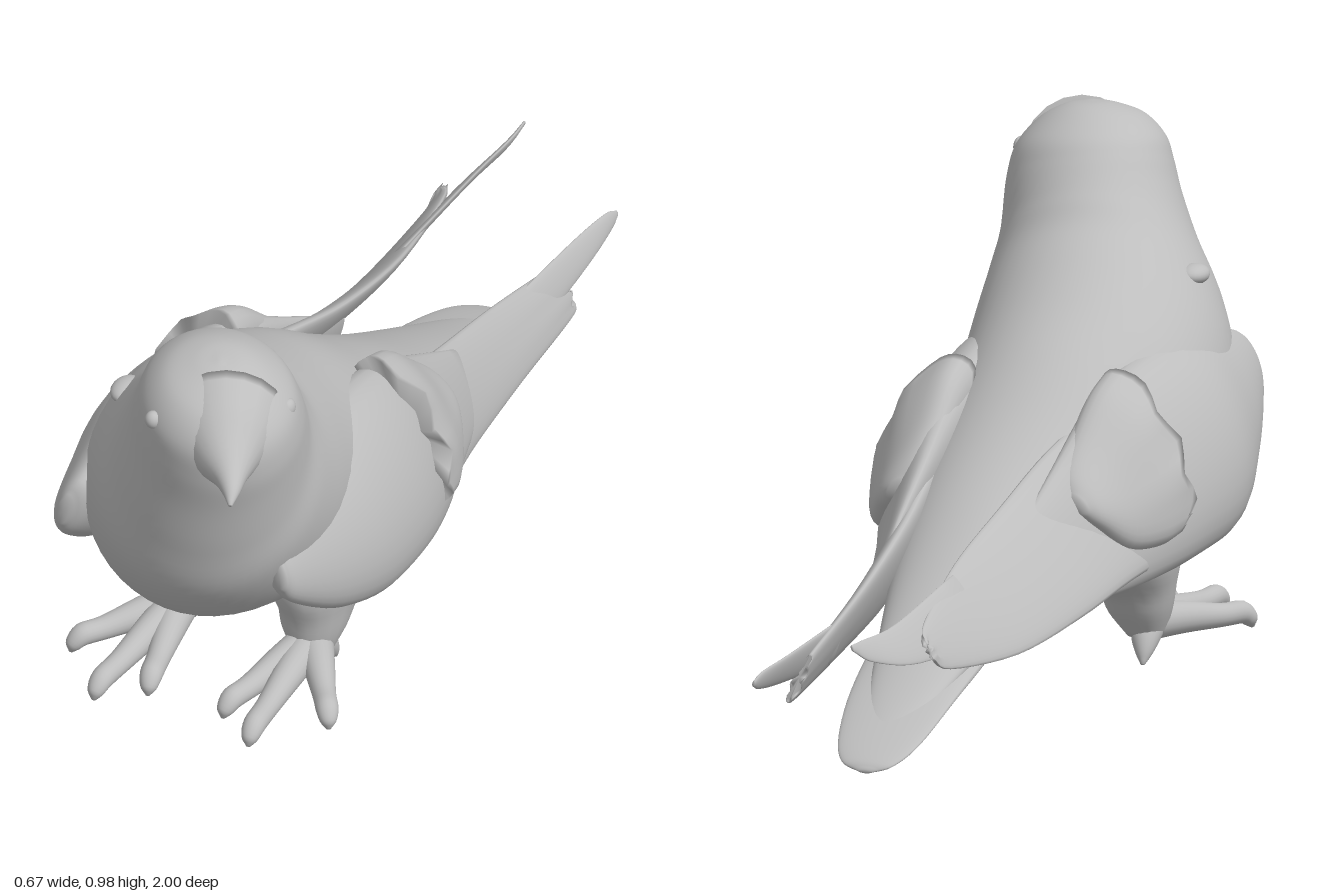
import * as THREE from 'three';

const plumage = new THREE.MeshStandardMaterial({ color: 0xbdbdbd });
plumage.name = 'plain grey';
const V = (x, y, z) => new THREE.Vector3(x, y, z);

// Smooth closed skin through elliptical rings {c, u, v}: p = c + u cos t + v sin t.
// jag makes the first and last ends ragged along z.
function loft(name, rings, { sides = 32, steps = 5, jag = [0, 0] } = {}) {
  const curve = (k) => new THREE.CatmullRomCurve3(rings.map((r) => r[k]), false, 'catmullrom', 0.5);
  const [C, U, W] = ['c', 'u', 'v'].map(curve);
  const rows = (rings.length - 1) * steps;
  const pos = [], idx = [];
  for (let i = 0; i <= rows; i++) {
    const s = i / rows, c = C.getPoint(s), u = U.getPoint(s), w = W.getPoint(s);
    const rag = jag[0] * Math.pow(1 - s, 5) + jag[1] * Math.pow(s, 5);
    for (let j = 0; j < sides; j++) {
      const t = (j / sides) * Math.PI * 2;
      const p = c.clone().addScaledVector(u, Math.cos(t)).addScaledVector(w, Math.sin(t));
      pos.push(p.x, p.y, p.z + rag * Math.sin(Math.cos(t) * 9));
    }
  }
  for (let i = 0; i < rows; i++) for (let j = 0; j < sides; j++) {
    const k = (j + 1) % sides, a = i * sides;
    idx.push(a + j, a + k, a + sides + j, a + k, a + sides + k, a + sides + j);
  }
  // end caps
  [[0, C.getPoint(0)], [rows, C.getPoint(1)]].forEach(([row, c], e) => {
    const n = pos.length / 3;
    pos.push(c.x, c.y, c.z);
    for (let j = 0; j < sides; j++) {
      const a = row * sides + j, b = row * sides + (j + 1) % sides;
      if (e) idx.push(n, a, b); else idx.push(n, b, a);
    }
  });
  // turn the faces outward
  let volume = 0;
  const at = (i) => V(pos[3 * i], pos[3 * i + 1], pos[3 * i + 2]);
  for (let i = 0; i < idx.length; i += 3) volume += at(idx[i]).dot(at(idx[i + 1]).cross(at(idx[i + 2])));
  if (volume < 0) idx.reverse();
  const g = new THREE.BufferGeometry();
  g.setAttribute('position', new THREE.Float32BufferAttribute(pos, 3));
  g.setIndex(idx);
  g.computeVertexNormals();
  const mesh = new THREE.Mesh(g, plumage);
  mesh.name = name;
  return mesh;
}

// Ring between a back point and a belly point, turned by yaw about the vertical
function bodyRing([zb, yb, zf, yf, x, w, yaw = 0]) {
  const a = THREE.MathUtils.degToRad(yaw), h = (zb - zf) / 2;
  return {
    c: V(x, (yb + yf) / 2, (zb + zf) / 2),
    u: V(h * Math.sin(a), (yb - yf) / 2, h * Math.cos(a)),
    v: V(w * Math.cos(a), 0, -w * Math.sin(a)),
  };
}

// Ring of a wing at z, from its top edge to its bottom edge, bulging sideways;
// the front of both wings swings to the left with the chest
const wingRing = (side) => ([z, xt, yt, xb, yb, thick]) => ({
  c: V(side * (xt + xb) / 2 + 0.08 * Math.max(0, z - 0.4), (yt + yb) / 2, z),
  u: V(side * (xt - xb) / 2, (yt - yb) / 2, 0),
  v: V(thick, 0, 0),
});

// Round limb along points [x, y, z, radius]; upright limbs use flat rings with a depth
function limb(name, pts, upright = false) {
  const path = pts.map((p) => V(p[0], p[1], p[2]));
  return loft(name, pts.map((p, i) => {
    const r = p[3], dir = path[Math.min(i + 1, path.length - 1)].clone().sub(path[Math.max(i - 1, 0)]).normalize();
    const across = upright ? V(1, 0, 0) : V(0, 1, 0).cross(dir).normalize();
    const other = upright ? V(0, 0, 1) : dir.clone().cross(across);
    return { c: path[i], u: across.multiplyScalar(r), v: other.multiplyScalar(upright ? p[4] : r) };
  }), { sides: 20, steps: 4 });
}

function ellipsoid(name, at, size) {
  const m = new THREE.Mesh(new THREE.SphereGeometry(1, 20, 14), plumage);
  m.name = name;
  m.position.set(...at);
  m.scale.set(...size);
  return m;
}

export function createModel() {
  const bird = new THREE.Group();
  bird.name = 'bird';

  // Body, neck and turned head in one skin
  bird.add(loft('bodyAndHead', [
    [-0.74, 0.05, -0.74, 0.04, -0.05, 0.02],
    [-0.55, 0.145, -0.55, 0.10, -0.04, 0.075],
    [-0.3, 0.29, -0.3, 0.145, -0.02, 0.13],
    [-0.1, 0.42, -0.1, 0.135, 0, 0.17],
    [0.05, 0.52, 0.12, 0.13, 0, 0.215],
    [0.2, 0.63, 0.36, 0.155, 0, 0.24],
    [0.32, 0.70, 0.58, 0.24, 0.005, 0.26],
    [0.42, 0.755, 0.75, 0.34, 0.03, 0.255, 5],
    [0.5, 0.80, 0.86, 0.47, 0.07, 0.225, 12],
    [0.54, 0.845, 0.895, 0.6, 0.1, 0.19, 20],
    [0.565, 0.88, 0.915, 0.72, 0.122, 0.17, 30],
    [0.59, 0.915, 0.93, 0.8, 0.135, 0.158, 35],
    [0.62, 0.945, 0.93, 0.87, 0.14, 0.141, 35],
    [0.675, 0.973, 0.895, 0.93, 0.142, 0.1, 35],
    [0.72, 0.985, 0.83, 0.968, 0.142, 0.05, 35],
    [0.765, 0.985, 0.785, 0.983, 0.142, 0.006, 35],
  ].map(bodyRing), { sides: 48, steps: 6 }));

  // Hooked beak, blended into the face by a broad base
  bird.add(limb('beak', [
    [0.165, 0.87, 0.79, 0.115], [0.195, 0.862, 0.85, 0.092], [0.224, 0.853, 0.9, 0.06], [0.25, 0.848, 0.94, 0.033],
    [0.27, 0.842, 0.975, 0.017], [0.281, 0.83, 1.0, 0.004],
  ]));

  // Eyes
  bird.add(ellipsoid('leftEye', [0.27, 0.888, 0.74], [0.014, 0.02, 0.02]));
  bird.add(ellipsoid('rightEye', [0.062, 0.892, 0.895], [0.016, 0.018, 0.016]));

  // Ruffled feather on the right of the back
  bird.add(ellipsoid('ruffledFeather', [-0.145, 0.705, 0.6], [0.03, 0.02, 0.04]));

  // Folded wing shoulders and covert flaps, the same on both sides
  for (const [side, label] of [[1, 'left'], [-1, 'right']]) {
    bird.add(loft(label + 'WingShoulder', [
      [0.755, 0.225, 0.53, 0.235, 0.47, 0.012],
      [0.72, 0.2, 0.575, 0.24, 0.42, 0.04],
      [0.58, 0.18, 0.605, 0.26, 0.32, 0.075],
      [0.42, 0.17, 0.62, 0.275, 0.255, 0.1],
      [0.25, 0.16, 0.60, 0.275, 0.235, 0.092],
      [0.1, 0.15, 0.55, 0.255, 0.22, 0.07],
      [-0.05, 0.135, 0.46, 0.22, 0.21, 0.04],
      [-0.25, 0.12, 0.34, 0.17, 0.2, 0.012],
    ].map(wingRing(side))));
    bird.add(loft(label + 'CovertFlap', [
      [0.17, 0.165, 0.61, 0.285, 0.3, 0.083],
      [0.1, 0.16, 0.575, 0.275, 0.29, 0.074],
      [0.02, 0.155, 0.505, 0.25, 0.3, 0.056],
      [-0.04, 0.16, 0.45, 0.22, 0.35, 0.036],
      [-0.065, 0.18, 0.41, 0.195, 0.38, 0.015],
    ].map(wingRing(side)), { jag: [0.02, 0] }));
  }

  // Flight feathers: the left wing hangs lower than the right
  bird.add(loft('leftFlightFeathers', [
    [0.2, 0.16, 0.5, 0.24, 0.24, 0.05],
    [0, 0.135, 0.445, 0.22, 0.2, 0.038],
    [-0.2, 0.11, 0.37, 0.185, 0.17, 0.028],
    [-0.45, 0.09, 0.295, 0.155, 0.145, 0.02],
    [-0.7, 0.085, 0.225, 0.13, 0.12, 0.014],
    [-0.72, 0.088, 0.215, 0.125, 0.13, 0.01],
  ].map(wingRing(1)), { jag: [0, 0.015] }));
  bird.add(loft('leftWingTip', [
    [-0.55, 0.09, 0.255, 0.12, 0.16, 0.01],
    [-0.8, 0.093, 0.235, 0.115, 0.175, 0.008],
    [-0.91, 0.1, 0.225, 0.11, 0.188, 0.006],
    [-0.945, 0.105, 0.212, 0.107, 0.2, 0.003],
  ].map(wingRing(1))));
  bird.add(loft('rightFlightFeathers', [
    [0.2, 0.13, 0.54, 0.28, 0.26, 0.045],
    [0, 0.1, 0.48, 0.265, 0.24, 0.035],
    [-0.2, 0.09, 0.415, 0.25, 0.21, 0.028],
    [-0.45, 0.1, 0.355, 0.23, 0.19, 0.02],
    [-0.72, 0.15, 0.3, 0.205, 0.215, 0.012],
    [-0.79, 0.18, 0.28, 0.2, 0.25, 0.006],
  ].map(wingRing(-1)), { jag: [0, 0.01] }));
  bird.add(loft('rightWingTip', [
    [-0.5, 0.115, 0.345, 0.19, 0.23, 0.01],
    [-0.8, 0.125, 0.312, 0.175, 0.24, 0.008],
    [-0.94, 0.118, 0.31, 0.14, 0.268, 0.006],
    [-1, 0.119, 0.312, 0.122, 0.3, 0.003],
  ].map(wingRing(-1))));

  // Tail: thin fan sloping down to a rounded end
  bird.add(loft('tail', [
    [-0.15, 0.23, 0.1, 0.07, -0.01], [-0.35, 0.175, 0.12, 0.035, -0.02], [-0.55, 0.115, 0.108, 0.018, -0.035],
    [-0.7, 0.06, 0.085, 0.012, -0.05], [-0.77, 0.03, 0.055, 0.009, -0.055], [-0.79, 0.018, 0.015, 0.004, -0.058],
  ].map(([z, y, w, h, x]) => ({ c: V(x, y, z), u: V(w, 0, 0), v: V(0, h, 0) }))));

  // Feathered legs, toes with claws
  for (const [side, label] of [[1, 'left'], [-1, 'right']]) {
    const foot = new THREE.Group();
    foot.name = label + 'Leg';
    const m = (pts) => pts.map(([x, ...rest]) => [side * x, ...rest]);
    foot.add(limb('thigh', m([
      [0.125, 0.34, 0.26, 0.1, 0.21], [0.13, 0.22, 0.31, 0.092, 0.16],
      [0.135, 0.15, 0.35, 0.072, 0.095], [0.135, 0.1, 0.365, 0.06, 0.07], [0.14, 0.05, 0.38, 0.035, 0.04],
    ]), true));
    for (const [x, z] of [[0.275, 0.58], [0.165, 0.7], [0.08, 0.64]]) {
      const toe = [[0, 0.075, 0.038], [0.35, 0.073, 0.031], [0.7, 0.066, 0.023], [0.9, 0.066, 0.022],
        [0.98, 0.05, 0.016], [1, 0.035, 0.004]];
      foot.add(limb('toe', m(toe.map(([t, y, r]) => [0.14 + (x - 0.14) * t, y, 0.38 + (z - 0.38) * t, r]))));
    }
    foot.add(limb('hindToe', m([
      [0.145, 0.08, 0.39, 0.036], [0.15, 0.05, 0.355, 0.028], [0.155, 0.025, 0.335, 0.017], [0.158, 0.004, 0.322, 0.004],
    ])));
    bird.add(foot);
  }
  return bird;
}
